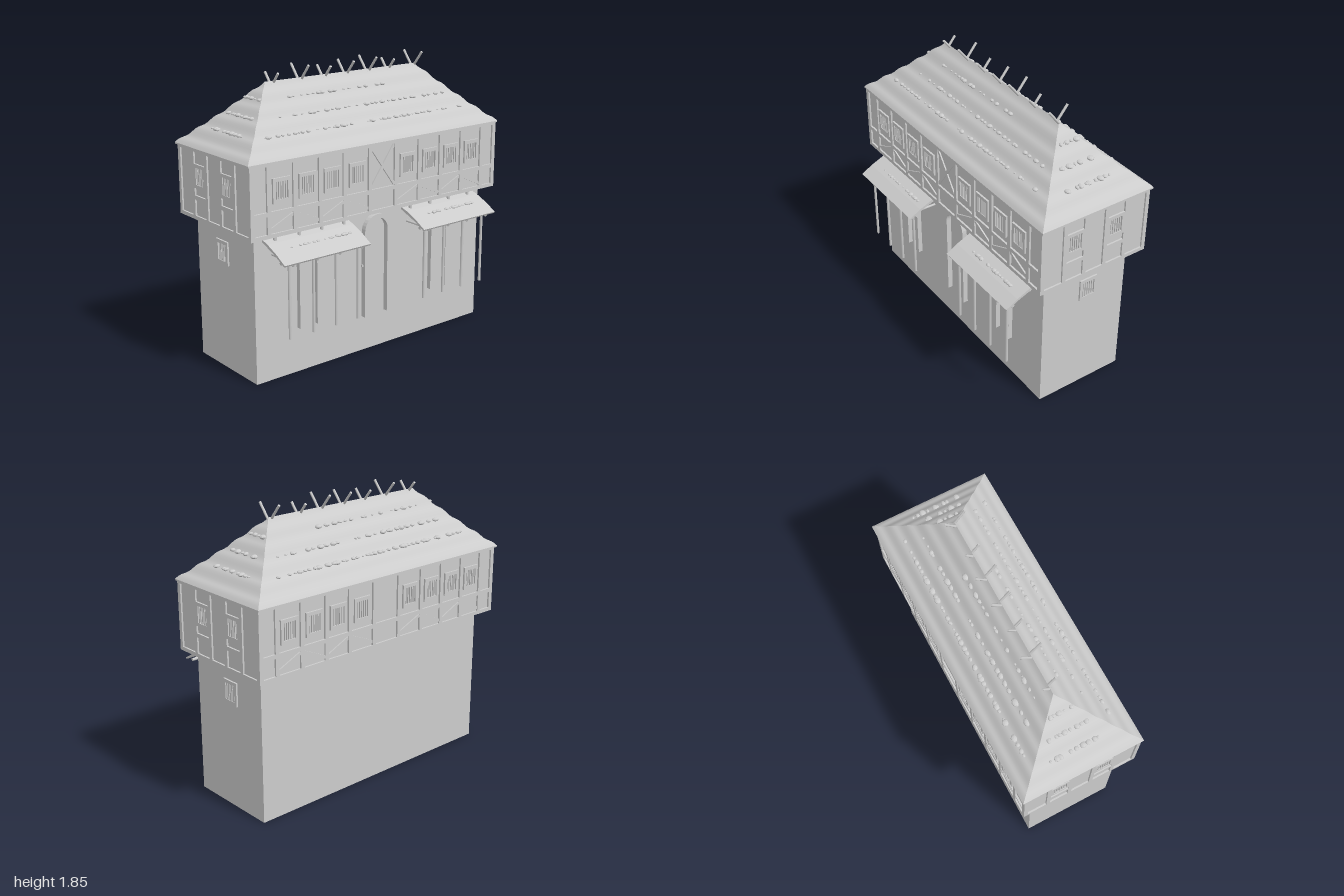
import * as THREE from 'three';

const grey = new THREE.MeshStandardMaterial({ color: 0xcccccc, side: THREE.DoubleSide });
const flat = new THREE.MeshStandardMaterial({ color: 0xcccccc, flatShading: true });
const ZC = -0.07; // centre line of the upper floor and roof

let seed = 7;
const rnd = (a = 0, b = 1) => {
  seed = (seed * 16807) % 2147483647;
  return a + (b - a) * (seed / 2147483647);
};

function add(parent, name, geo, x = 0, y = 0, z = 0, mat = grey) {
  const m = new THREE.Mesh(geo, mat);
  m.name = name;
  m.position.set(x, y, z);
  parent.add(m);
  return m;
}
const box = (parent, name, w, h, d, x, y, z) => add(parent, name, new THREE.BoxGeometry(w, h, d), x, y, z);

function group(parent, name, x = 0, y = 0, z = 0, ry = 0) {
  const g = new THREE.Group();
  g.name = name;
  g.position.set(x, y, z);
  g.rotation.y = ry;
  parent.add(g);
  return g;
}

// Round pole between two points
function pole(parent, name, a, b, r) {
  const p = new THREE.Vector3(...a), q = new THREE.Vector3(...b), d = q.clone().sub(p);
  const m = add(parent, name, new THREE.CylinderGeometry(r, r, d.length(), 8));
  m.position.copy(p).add(q).multiplyScalar(0.5);
  m.quaternion.setFromUnitVectors(new THREE.Vector3(0, 1, 0), d.normalize());
}

// Flat diagonal timber on a facade
function brace(parent, x0, y0, x1, y1, w = 0.018) {
  const m = box(parent, 'brace', Math.hypot(x1 - x0, y1 - y0), w, 0.009, (x0 + x1) / 2, (y0 + y1) / 2, 0.0045);
  m.rotation.z = Math.atan2(y1 - y0, x1 - x0);
}

// Framed window with upright bars, facing local +z
function windowAt(parent, x, y) {
  const g = group(parent, 'window', x, y, 0);
  const rect = (S, w, h) => {
    const s = new S();
    s.moveTo(-w, -h); s.lineTo(w, -h); s.lineTo(w, h); s.lineTo(-w, h); s.closePath();
    return s;
  };
  const outer = rect(THREE.Shape, 0.063, 0.075);
  outer.holes.push(rect(THREE.Path, 0.043, 0.053));
  add(g, 'windowFrame', new THREE.ExtrudeGeometry(outer, { depth: 0.012, bevelEnabled: false }));
  for (let i = 0; i < 5; i++) box(g, 'windowBar', rnd(0.006, 0.011), 0.106, 0.008, -0.032 + i * 0.016, 0, 0.005);
}

// Timber framing of a facade: posts, sills and rails in local coordinates
function facade(parent, name, posts, halfWidth, z, x, ry) {
  const g = group(parent, name, x, 0, z, ry);
  posts.forEach(p => box(g, 'post', 0.026, 0.44, 0.012, p, 1.15, 0.006));
  box(g, 'sillBeam', halfWidth * 2, 0.024, 0.012, 0, 0.942, 0.006);
  box(g, 'topBeam', halfWidth * 2, 0.02, 0.012, 0, 1.365, 0.006);
  return g;
}

// Arched or straight door surround
function doorFrame(parent, name, x, yBottom, spring, r, t, depth) {
  const s = new THREE.Shape();
  s.moveTo(r, yBottom);
  s.lineTo(r, spring);
  s.absarc(0, spring, r, 0, Math.PI, false);
  s.lineTo(-r, yBottom);
  s.lineTo(t - r, yBottom);
  s.lineTo(t - r, spring);
  s.absarc(0, spring, r - t, Math.PI, 0, true);
  s.lineTo(r - t, yBottom);
  s.closePath();
  add(parent, name, new THREE.ExtrudeGeometry(s, { depth, bevelEnabled: false, curveSegments: 8 }), x, 0, 0.245);
}

// Gently rippled hip roof
const roofY = t => 1.38 + 0.38 * t - 0.01 * Math.sin(Math.PI * t) + 0.005 * Math.sin(t * Math.PI * 10);
const corner = (sx, sz, t) => [sx * (1 - 0.4 * t), roofY(t), ZC + sz * 0.4 * (1 - t)];
function roofSide(parent, a, b) {
  const N = 30, pos = [], idx = [];
  for (let i = 0; i <= N; i++) {
    pos.push(...corner(...a, i / N), ...corner(...b, i / N));
    const k = i * 2;
    if (i < N) idx.push(k, k + 1, k + 3, k, k + 3, k + 2);
  }
  const geo = new THREE.BufferGeometry();
  geo.setAttribute('position', new THREE.Float32BufferAttribute(pos, 3));
  geo.setIndex(idx);
  geo.computeVertexNormals();
  add(parent, 'roofSlope', geo);
}

// Irregular row of weight stones between two points
const stoneGeo = new THREE.IcosahedronGeometry(1, 1);
function stones(parent, a, b, n, size = 0.02) {
  for (let i = 0; i < n; i++) {
    const f = (i + rnd(0.1, 0.9)) / n, r = size * rnd(0.35, 1);
    if (rnd() < 0.15) continue;
    const m = add(parent, 'stone', stoneGeo, ...a.map((v, k) => v + (b[k] - v) * f), flat);
    m.scale.set(r * rnd(0.9, 1.2), r * 0.55, r * rnd(0.7, 0.95));
    m.rotation.y = rnd(-0.4, 0.4);
  }
}

// Lean-to canopy on posts, with a door frame behind it
function canopy(parent, side) {
  const g = group(parent, side > 0 ? 'leftCanopy' : 'rightCanopy', side * 0.54);
  const s = new THREE.Shape([[0.245, 0.905], [0.3, 0.888], [0.39, 0.848], [0.468, 0.803], [0.462, 0.793],
    [0.38, 0.836], [0.245, 0.89]].map(p => new THREE.Vector2(...p)));
  const geo = new THREE.ExtrudeGeometry(s, { depth: 0.64, bevelEnabled: false });
  geo.rotateY(-Math.PI / 2);
  geo.scale(1, 1, 1);
  add(g, 'canopyRoof', geo, 0.32, 0, 0);
  pole(g, 'canopyBeam', [-0.31, 0.8, 0.413], [0.31, 0.8, 0.413], 0.01);
  for (const x of [-0.265, -0.095, 0.075, 0.25]) {
    pole(g, 'canopyPost', [x, 0.318, 0.413], [x, 0.81, 0.413], 0.009);
    pole(g, 'canopyRafter', [x, 0.875, 0.25], [x, 0.785, 0.455], 0.008);
    pole(g, 'canopyTie', [x, 0.8, 0.245], [x, 0.8, 0.46], 0.008);
    pole(g, 'canopyStub', [x, 0.86, 0.275], [x, 0.95, 0.275], 0.011);
  }
  stones(g, [-0.26, 0.862, 0.36], [0.26, 0.862, 0.36], 17, 0.02);
  // Door jambs and lintel braces
  for (const k of [-1, 1]) {
    box(g, 'doorJamb', 0.016, 0.48, 0.03, k * 0.066, 0.53, 0.26);
    const m = box(g, 'doorHead', 0.08, 0.016, 0.03, k * 0.034, 0.792, 0.26);
    m.rotation.z = -k * 0.75;
  }
  g.scale.x = side;
}

export function createModel() {
  const model = new THREE.Group();
  model.name = 'hippedRoofHouse';

  // Masonry ground floor, open underneath
  const base = new THREE.BoxGeometry(1.84, 0.93, 0.615);
  base.setIndex(Array.from(base.index.array).filter((_, i) => i < 18 || i >= 24));
  base.clearGroups();
  add(model, 'groundFloor', base, 0, 0.465, -0.0625);
  doorFrame(model, 'archedDoorFrame', 0, 0.235, 0.8, 0.107, 0.028, 0.033);
  for (const k of [-1, 1]) {
    box(model, 'doorHinge', 0.012, 0.014, 0.012, k * 0.11, 0.58, 0.255);
    windowAt(group(model, 'sideWindow', k * 0.919, 0, -0.085, k * Math.PI / 2), 0, 0.757);
    canopy(model, k);
  }

  // Timber-framed upper floor
  box(model, 'upperFloor', 1.956, 0.45, 0.756, 0, 1.155, -0.065);
  const posts = [-0.973, -0.86, -0.675, -0.488, -0.303, -0.105, 0.105, 0.303, 0.488, 0.675, 0.86, 0.973];
  for (const front of [true, false]) {
    const f = facade(model, front ? 'frontFraming' : 'backFraming', posts, 0.986,
      front ? 0.313 : -0.443, 0, front ? 0 : Math.PI);
    box(f, 'rail', 1.972, 0.026, 0.012, 0, 1.075, 0.006);
    for (let i = 1; i < 10; i++) {
      const a = posts[i] + 0.01, b = posts[i + 1] - 0.01;
      if (i === 5) {
        if (front) {
          brace(f, a, 1.095, b, 1.355);
          brace(f, a, 1.355, b, 1.095);
        }
        continue;
      }
      windowAt(f, (a + b) / 2, 1.205);
      const rising = (i < 5 ? i : i - 5) % 2 === 1;
      brace(f, a, rising ? 0.975 : 1.05, b, rising ? 1.05 : 0.975);
    }
  }
  for (const k of [-1, 1]) {
    const f = facade(model, 'sideFraming', [-0.377, -0.222, -0.075, 0.075, 0.222, 0.377], 0.388,
      -0.065, k * 0.977, k * Math.PI / 2);
    for (const s of [-1, 1]) {
      box(f, 'rail', 0.15, 0.026, 0.012, s * 0.148, 1.07, 0.006);
      windowAt(f, s * 0.148, 1.205);
    }
  }

  // Hip roof with an eave board
  const roof = group(model, 'roof');
  const c = [[-1, 1], [1, 1], [1, -1], [-1, -1]];
  c.forEach((p, i) => roofSide(roof, p, c[(i + 1) % 4]));
  box(roof, 'eaveBoard', 1.998, 0.01, 0.798, 0, 1.375, ZC);

  // Weight stones in rows on all four slopes
  const w = group(roof, 'weightStones');
  const rows = [[0.31, -0.8, 0.77, 42, 0.17], [0.55, -0.66, 0.7, 30, 0.13], [0.78, -0.55, 0.3, 20, 0.08]];
  for (const [t, x0, x1, n, zs] of rows) {
    const y = roofY(t) + 0.003;
    for (const s of [-1, 1]) {
      const z = ZC + s * 0.4 * (1 - t), x = s * (1 - 0.4 * t);
      stones(w, [x0, y, z], [x1, y, z], n, s > 0 ? 0.021 : 0.025);
      stones(w, [x, y, ZC - zs], [x, y, ZC + zs], Math.round(zs * 60), 0.024);
    }
  }

  // Crossed poles along the ridge
  const ridge = group(roof, 'ridgePoles');
  [[-0.55, 1.81], [-0.34, 1.84], [-0.155, 1.815], [0.02, 1.83], [0.2, 1.84], [0.37, 1.81], [0.59, 1.84]]
    .forEach(([x, y]) => {
      for (const s of [-1, 1]) {
        const h = y - 1.745;
        pole(ridge, 'ridgePole', [x + s * 0.012, 1.735, ZC - s * 0.01], [x + s * 0.012, y, ZC + s * h * 0.78], 0.008);
      }
    });
  return model;
}
